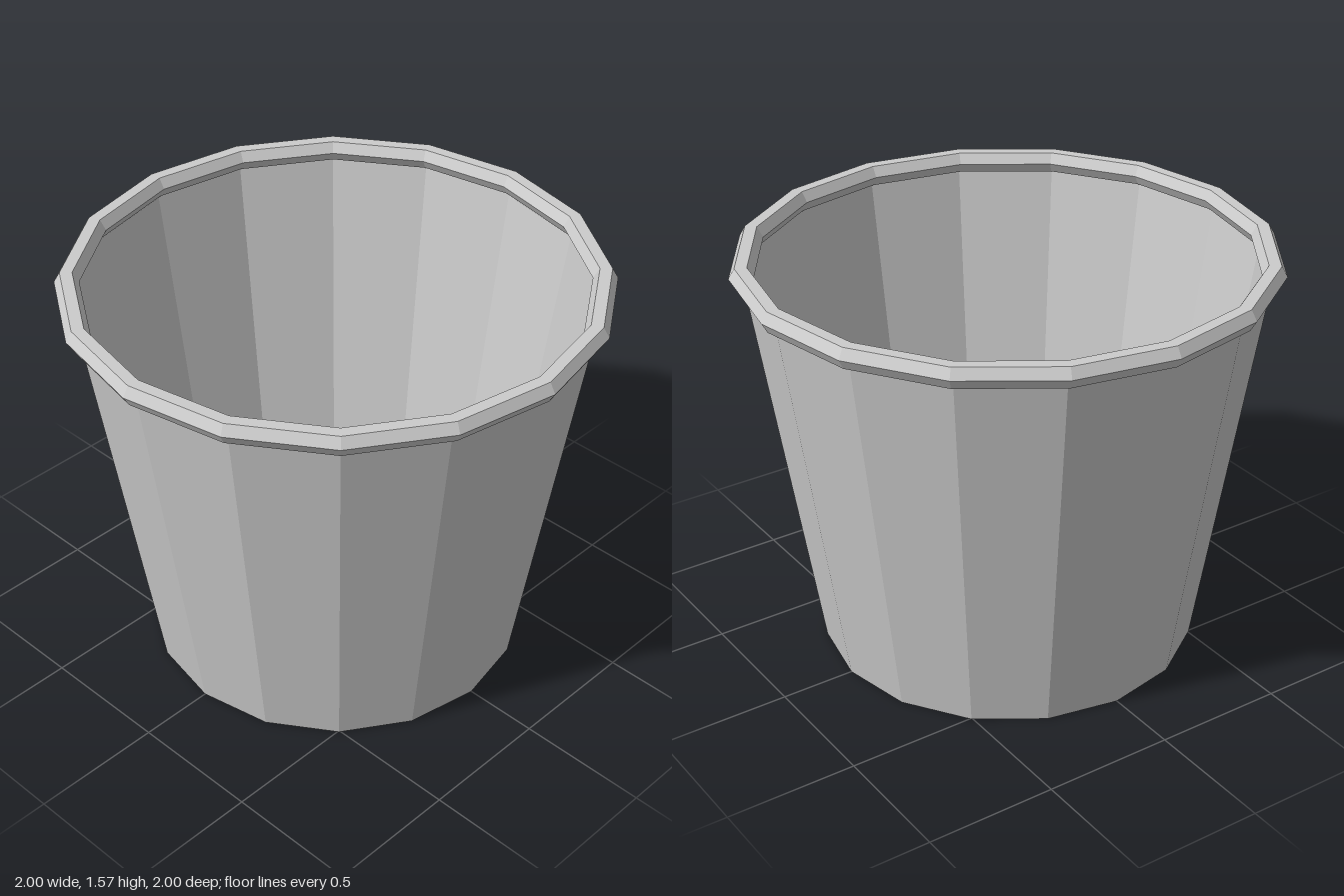
import * as THREE from 'three';

const SIDES = 16;

export function createModel() {
  const model = new THREE.Group();
  model.name = 'bucket';

  const lightGrey = new THREE.MeshStandardMaterial({
    color: 0xcccccc, flatShading: true, side: THREE.DoubleSide,
  });
  lightGrey.name = 'lightGrey';

  const add = (name, geometry, y) => {
    const mesh = new THREE.Mesh(geometry, lightGrey);
    mesh.name = name;
    mesh.position.y = y;
    model.add(mesh);
  };

  // Thin tapered wall, open at both ends, reaching the middle of the rim
  const height = 1.53;
  add('wall', new THREE.CylinderGeometry(0.952, 0.714, height, SIDES, 1, true), height / 2);

  // Flat floor
  add('floor', new THREE.CircleGeometry(0.714, SIDES).rotateX(-Math.PI / 2), 0);

  // Rolled rim with a six-sided section
  add('rim', new THREE.TorusGeometry(0.955, 0.045, 6, SIDES).rotateX(-Math.PI / 2), height);

  return model;
}
